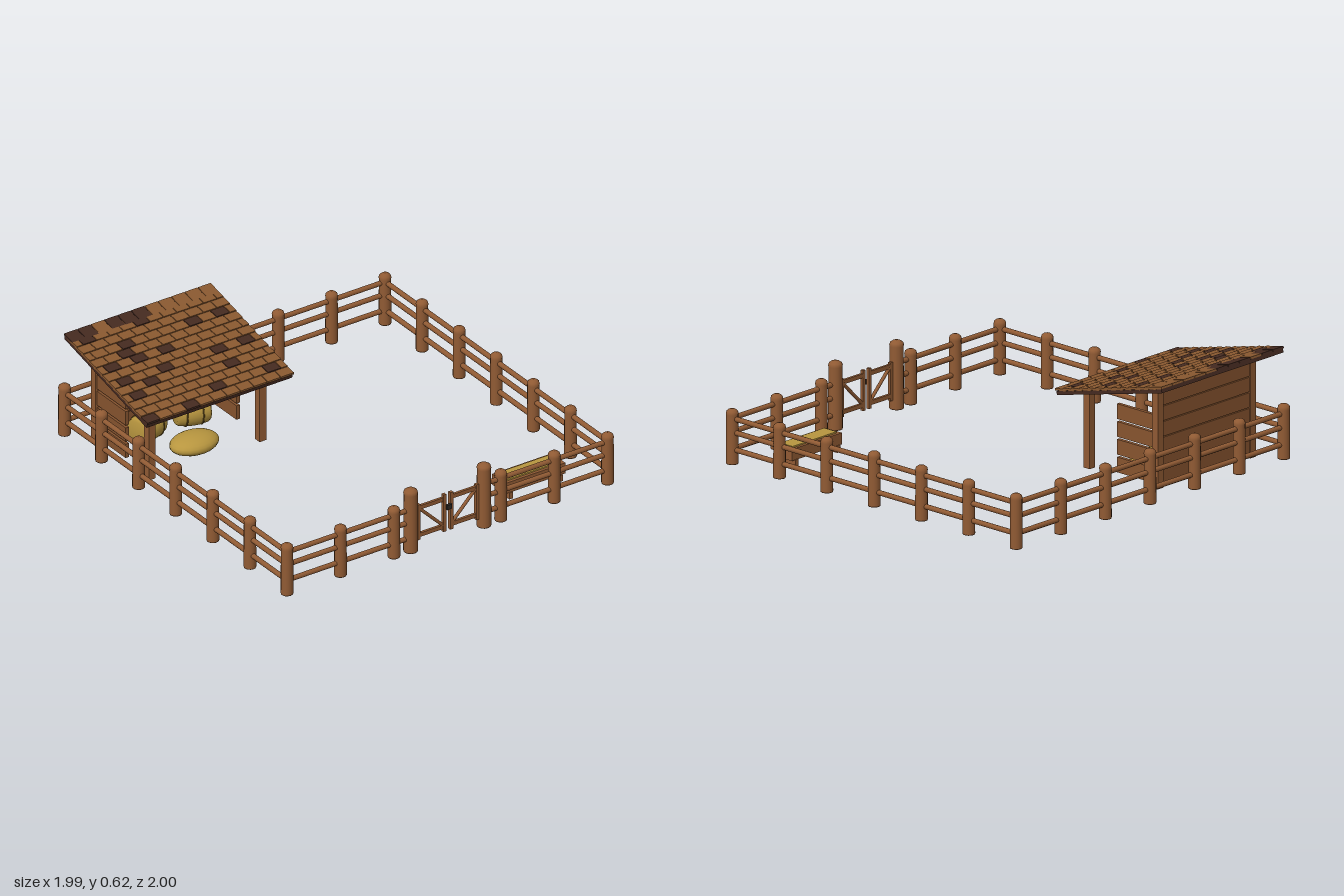
import * as THREE from 'three';

const mat = (name, color) => Object.assign(new THREE.MeshStandardMaterial({ color }), { name });

export function createModel() {
  const wood = mat('fence wood', 0x915b34);
  const plank = mat('plank wood', 0x87542f);
  const tile = mat('roof shingle', 0x8a5930);
  const dark = mat('dark shingle', 0x452a20);
  const hay = mat('hay', 0xb8963f);
  const twine = mat('bale twine', 0x6e5420);
  const iron = mat('iron latch', 0x2b2622);

  const root = new THREE.Group();
  root.name = 'paddock';

  const group = (name, parent = root) => {
    const g = new THREE.Group();
    g.name = name;
    parent.add(g);
    return g;
  };
  const add = (parent, name, geo, material, x = 0, y = 0, z = 0) => {
    const m = new THREE.Mesh(geo, material);
    m.name = name;
    m.position.set(x, y, z);
    parent.add(m);
    return m;
  };
  const box = (parent, name, material, w, h, d, x, y, z) =>
    add(parent, name, new THREE.BoxGeometry(w, h, d), material, x, y, z);
  // Round bar between two points
  const bar = (parent, name, a, b, r) => {
    const A = new THREE.Vector3(...a), B = new THREE.Vector3(...b);
    const dir = B.clone().sub(A);
    const m = add(parent, name, new THREE.CylinderGeometry(r, r, dir.length(), 10), wood);
    m.position.copy(A).add(B).multiplyScalar(0.5);
    m.quaternion.setFromUnitVectors(new THREE.Vector3(0, 1, 0), dir.normalize());
    return m;
  };
  // Log post with a softly domed top
  const postGeo = (r, h) => new THREE.LatheGeometry(
    [[0, 0], [r * 0.96, 0], [r, 0.004], [r * 0.95, h - 0.03], [r, h - 0.025], [r * 0.9, h - 0.012], [r * 0.55, h - 0.003], [0, h]]
      .map(([x, y]) => new THREE.Vector2(x, y)), 14);

  // Fence posts around the square
  const GROUND = 0.04, E = 0.963, STEP = E / 3;
  const fence = group('fence');
  const fencePost = postGeo(0.032, 0.285);
  for (let i = -3; i <= 3; i++) {
    add(fence, 'fencePost', fencePost, wood, i * STEP, GROUND, -E);
    if (i !== 0) add(fence, 'fencePost', fencePost, wood, i * STEP, GROUND, E);
    if (Math.abs(i) < 3)
      for (const s of [-1, 1]) add(fence, 'fencePost', fencePost, wood, s * E, GROUND, i * STEP);
  }
  // Three rails per side, with a gap for the gate
  for (const y of [0.275, 0.204, 0.115]) {
    bar(fence, 'backRail', [-E, y, -E], [E, y, -E], 0.0135);
    for (const s of [-1, 1]) {
      bar(fence, 'sideRail', [s * E, y, -E], [s * E, y, E], 0.0135);
      bar(fence, 'frontRail', [s * 0.22, y, E], [s * E, y, E], 0.0135);
    }
  }

  // Double gate
  const gate = group('gate');
  for (const s of [-1, 1]) {
    add(gate, 'gatePost', postGeo(0.037, 0.355), wood, s * 0.22, GROUND, E);
    const leaf = group('gateLeaf', gate);
    for (const y of [0.27, 0.115])
      box(leaf, 'gateRail', wood, 0.165, 0.022, 0.014, s * 0.098, y, E);
    box(leaf, 'outerStile', wood, 0.016, 0.2, 0.018, s * 0.176, 0.19, E);
    box(leaf, 'innerStile', wood, 0.018, 0.21, 0.018, s * 0.021, 0.192, E);
    bar(leaf, 'gateBrace', [s * 0.17, 0.265, E], [s * 0.025, 0.12, E], 0.009);
  }
  box(gate, 'latch', iron, 0.03, 0.026, 0.014, 0, 0.225, E + 0.014);

  // Shelter frame and walls
  const shed = group('shelter');
  const CX = -0.532, HALF = 0.333;
  for (const s of [-1, 1]) {
    const x = CX + s * HALF;
    box(shed, 'frontPost', wood, 0.04, 0.41, 0.04, x, GROUND + 0.205, -0.365);
    box(shed, 'backPost', wood, 0.04, 0.525, 0.04, x, GROUND + 0.2625, -0.827);
    for (let i = 0; i < 4; i++)
      box(shed, 'sidePlank', plank, 0.02, 0.079, 0.25, x, 0.102 + i * 0.0925, -0.685);
  }
  for (let i = 0; i < 6; i++)
    box(shed, 'backPlank', plank, HALF * 2, 0.076, 0.02, CX, 0.1 + i * 0.081, -0.832);

  // Sloping shingled roof
  const roof = group('roof', shed);
  roof.position.set(CX, 0.51, -0.597);
  roof.rotation.x = 0.237;
  const W = 0.885, L = 0.742, ROWS = 13, COLS = 11, PW = W / COLS, PL = L / ROWS;
  box(roof, 'roofBoard', dark, W - 0.01, 0.02, L - 0.01, 0, 0, 0);
  const darkTiles = [[0, 1, 3, 4, 5], [1, 5], [], [3, 8, 10], [2], [1, 3, 5], [], [1, 4, 8, 10], [2], [1, 8], [], [6, 10], [0, 3]];
  for (let r = 0; r < ROWS; r++) {
    const odd = r % 2;
    for (let c = 0; c < COLS + odd; c++) {
      // Odd rows are shifted by half a shingle and trimmed at the ends
      const x0 = Math.max(0, (c - odd / 2) * PW), x1 = Math.min(W, (c + 1 - odd / 2) * PW);
      const len = PL * 1.3 + ((c * 7 + r * 5) % 3) * 0.003;
      const t = box(roof, 'shingle', darkTiles[r].includes(c) ? dark : tile,
        x1 - x0 - 0.004, 0.011, len, (x0 + x1 - W) / 2, 0.0165, -L / 2 + (r + 1) * PL - len / 2);
      if (r === 0) t.position.z = -L / 2 + len / 2;
      t.rotation.x = -0.1 + 0.2;
      t.rotation.x = -0.1 * -1 * (r === 0 ? 0 : -1);
    }
  }

  // Round hay bales tied with twine
  const baleProfile = [[0, -0.088], [0.058, -0.088], [0.068, -0.075], [0.076, -0.03], [0.077, 0], [0.076, 0.03], [0.068, 0.075], [0.058, 0.088], [0, 0.088]]
    .map(([x, y]) => new THREE.Vector2(x, y));
  for (const [x, turn] of [[-0.655, 0.3], [-0.39, -0.3]]) {
    const bale = group('hayBale');
    bale.position.set(x, 0.115, -0.69);
    bale.rotation.set(0, turn, Math.PI / 2);
    add(bale, 'baleRoll', new THREE.LatheGeometry(baleProfile, 20), hay);
    for (const y of [-0.042, 0.042]) {
      const band = add(bale, 'baleTwine', new THREE.TorusGeometry(0.0745, 0.004, 6, 24), twine, 0, y, 0);
      band.rotation.x = Math.PI / 2;
    }
  }
  // Loose heap of hay
  add(root, 'hayHeap', new THREE.SphereGeometry(1, 20, 12), hay, -0.497, 0.052, -0.512).scale.set(0.135, 0.05, 0.098);

  // Feeding trough
  const trough = group('feedTrough');
  trough.position.set(0.63, 0, 0.76);
  box(trough, 'troughBase', plank, 0.33, 0.014, 0.1, 0, 0.079, 0);
  for (const s of [-1, 1]) {
    box(trough, 'troughSide', wood, 0.36, 0.06, 0.016, 0, 0.104, s * 0.05);
    box(trough, 'troughEnd', wood, 0.02, 0.06, 0.1, s * 0.17, 0.104, 0);
    box(trough, 'troughLeg', wood, 0.022, 0.036, 0.13, s * 0.15, 0.058, 0);
  }
  box(trough, 'troughHay', hay, 0.318, 0.055, 0.084, 0, 0.114, 0);

  return root;
}
